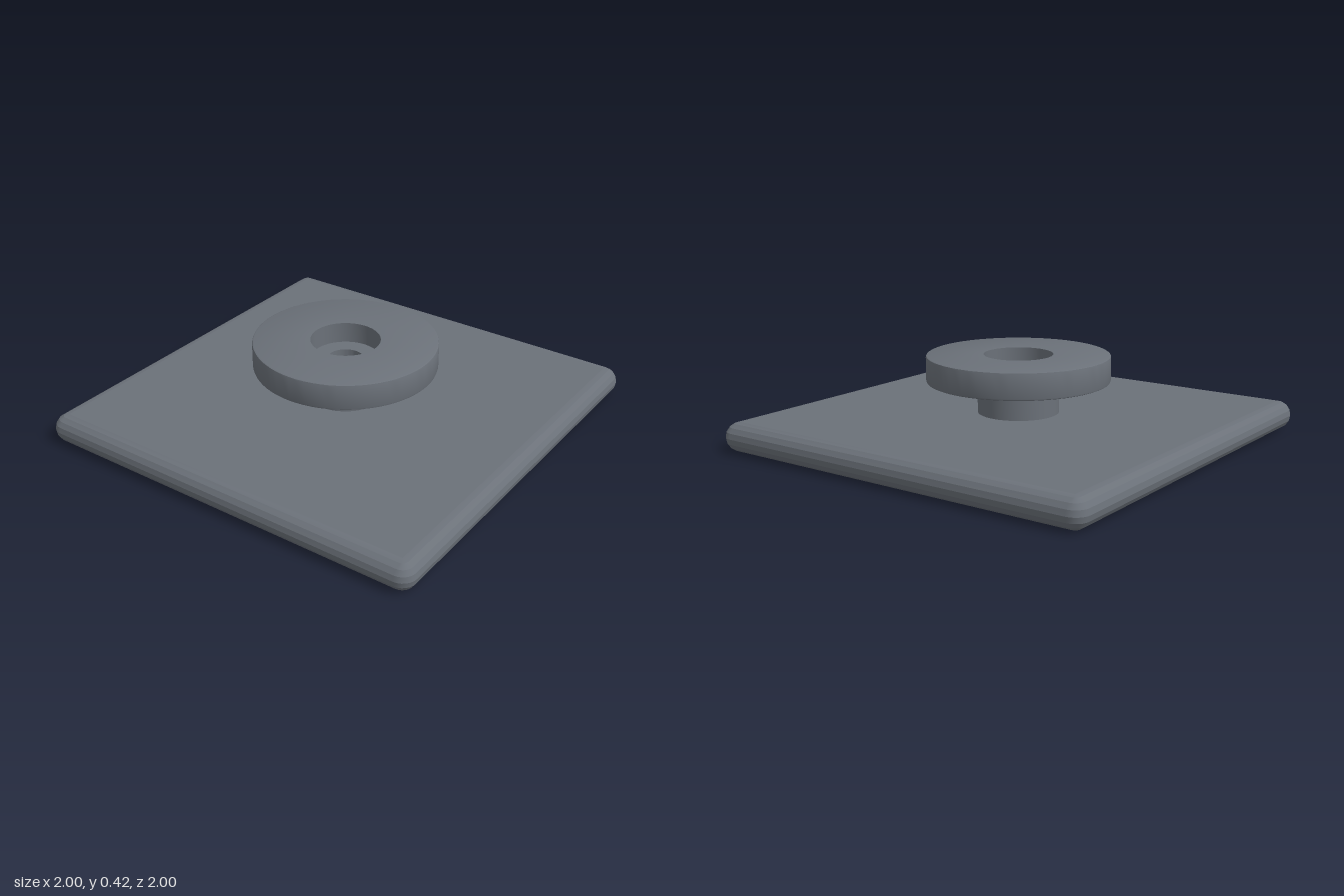
import * as THREE from 'three';
import { toCreasedNormals } from 'three/addons/utils/BufferGeometryUtils.js';

const H = 0.14, R = 0.07, FLAT = 1 - R; // plate height, edge radius, half size of flat area
const BORE = 0.087, COUNTERBORE = 0.167, FLOOR = 0.32;

// Revolve a profile, keeping its corners sharp
function turned(profile) {
  const points = profile.map(([x, y]) => new THREE.Vector2(x, y));
  return toCreasedNormals(new THREE.LatheGeometry(points, 72), 0.5);
}

// Rounded rim of the square plate: stacked outlines with quarter-round corners
function plateRim() {
  const rows = 8, steps = 6, pos = [], index = [];
  const n = 4 * (steps + 1);
  for (let i = 0; i <= rows; i++) {
    const t = -Math.PI / 2 + (Math.PI * i) / rows;
    for (let c = 0; c < 4; c++) {
      const cx = c === 0 || c === 3 ? FLAT : -FLAT;
      const cz = c < 2 ? FLAT : -FLAT;
      for (let s = 0; s <= steps; s++) {
        const a = (c + s / steps) * Math.PI / 2;
        const r = R * Math.cos(t);
        pos.push(cx + r * Math.cos(a), R + R * Math.sin(t), cz + r * Math.sin(a));
      }
    }
  }
  for (let i = 0; i < rows; i++) {
    for (let j = 0; j < n; j++) {
      const a = i * n + j, b = i * n + (j + 1) % n;
      index.push(a, a + n, b, b, a + n, b + n);
    }
  }
  const g = new THREE.BufferGeometry();
  g.setAttribute('position', new THREE.Float32BufferAttribute(pos, 3));
  g.setIndex(index);
  return toCreasedNormals(g, 0.3);
}

// Flat square face with the bore cut out
function plateFace() {
  const shape = new THREE.Shape([
    new THREE.Vector2(-FLAT, -FLAT), new THREE.Vector2(FLAT, -FLAT),
    new THREE.Vector2(FLAT, FLAT), new THREE.Vector2(-FLAT, FLAT),
  ]);
  shape.holes.push(new THREE.Path().absarc(0, 0, BORE, 0, Math.PI * 2, true));
  return new THREE.ShapeGeometry(shape, 36);
}

export function createModel() {
  const model = new THREE.Group();
  const grey = new THREE.MeshStandardMaterial({ color: 0x6b7179 });
  grey.name = 'slate grey';
  const add = (name, geometry) => {
    const mesh = new THREE.Mesh(geometry, grey);
    mesh.name = name;
    model.add(mesh);
    return mesh;
  };

  // Square base plate
  add('plateRim', plateRim());
  const top = add('plateTop', plateFace());
  top.rotation.x = -Math.PI / 2;
  top.position.y = H;
  const bottom = add('plateBottom', plateFace());
  bottom.rotation.x = Math.PI / 2;

  // Stem, bore and the ledge at the bottom of the counterbore
  add('stem', turned([[0.197, H], [0.197, 0.295]]));
  add('bore', turned([[COUNTERBORE, FLOOR], [BORE, FLOOR], [BORE, 0]]));

  // Disc with softened edges and a counterbored centre
  add('disc', turned([
    [0.197, 0.293], [0.435, 0.293], [0.441, 0.296], [0.443, 0.302],
    [0.443, 0.413], [0.441, 0.419], [0.435, 0.422],
    [COUNTERBORE, 0.422], [COUNTERBORE, FLOOR],
  ]));
  return model;
}
